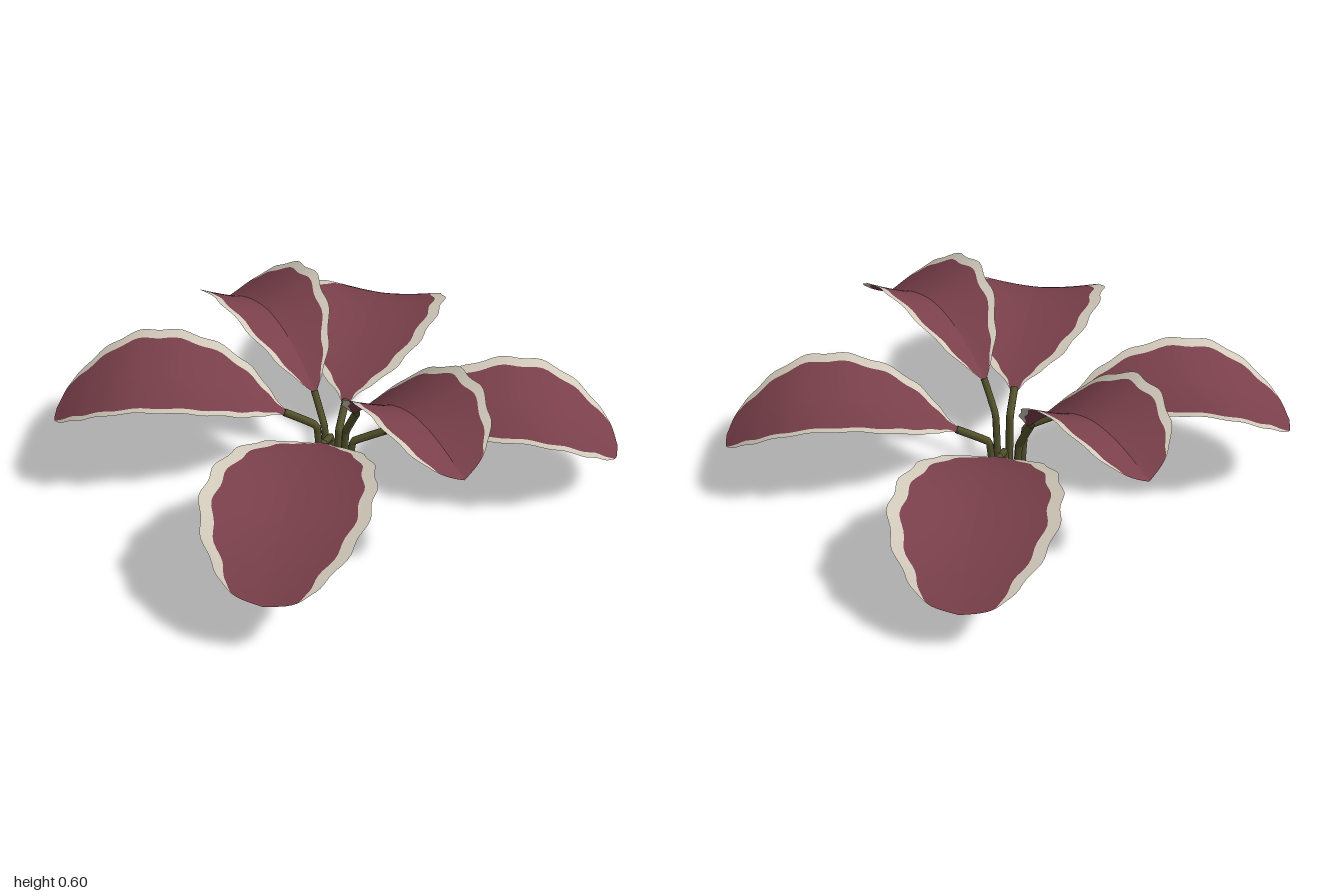
import * as THREE from 'three';

const leafRed = new THREE.MeshStandardMaterial({ color: 0x7a404b, side: THREE.DoubleSide });
leafRed.name = 'leafRed';
const marginCream = new THREE.MeshStandardMaterial({ color: 0xd3cbbc, side: THREE.DoubleSide });
marginCream.name = 'marginCream';
const stemOlive = new THREE.MeshStandardMaterial({ color: 0x54522c, side: THREE.DoubleSide });
stemOlive.name = 'stemOlive';

// Midrib points: distance from the centre, height, half width of the blade
const BIG = {
  points: [[0.165, 0.165, 0.008], [0.21, 0.19, 0.045], [0.27, 0.22, 0.12], [0.36, 0.255, 0.19],
    [0.48, 0.283, 0.24], [0.62, 0.293, 0.266], [0.75, 0.275, 0.265], [0.86, 0.232, 0.225],
    [0.94, 0.187, 0.16], [0.98, 0.16, 0.1], [0.997, 0.15, 0]],
  rise: 0.04, bend: 1.7, margin: 0.042, waves: 9,
  stem: [[0.052, 0], [0.065, 0.12], [0.18, 0.173]],
};
const SMALL = {
  points: [[0.13, 0.315, 0.008], [0.165, 0.35, 0.06], [0.21, 0.39, 0.11], [0.28, 0.44, 0.157],
    [0.37, 0.483, 0.187], [0.46, 0.5, 0.2], [0.55, 0.49, 0.195], [0.63, 0.465, 0.172],
    [0.69, 0.438, 0.125], [0.72, 0.424, 0.075], [0.735, 0.415, 0]],
  rise: 0.1, bend: 1.15, margin: 0.03, waves: 7,
  stem: [[0.055, 0], [0.068, 0.2], [0.135, 0.32]],
};

// One half of a blade: red columns first, then the cream margin column
function halfBlade(kind, lift, side) {
  const rows = 60, cols = 8;
  const curve = new THREE.CatmullRomCurve3(kind.points.map(p => new THREE.Vector3(...p)));
  const maxWidth = Math.max(...kind.points.map(p => p[2]));
  const positions = [], red = [], cream = [];
  for (let i = 0; i <= rows; i++) {
    const t = i / rows;
    const p = curve.getPoint(t);
    const fade = THREE.MathUtils.smoothstep(t, 0, 0.25) * (1 - THREE.MathUtils.smoothstep(t, 0.72, 0.92));
    const width = Math.max(0, p.z) + 0.006 * fade * Math.sin(t * kind.waves * Math.PI * 2);
    const inner = width - Math.min(width * 0.6, kind.margin * fade);
    for (let j = 0; j <= cols; j++) {
      const w = j < cols ? inner * j / (cols - 1) : width;
      const y = p.y + lift + kind.rise * Math.pow(w / maxWidth, kind.bend);
      positions.push(p.x, y, side * w);
      if (i < rows && j < cols) {
        const a = i * (cols + 1) + j, b = a + cols + 1;
        const faces = side > 0 ? [a, a + 1, b, b, a + 1, b + 1] : [a, b, a + 1, b, b + 1, a + 1];
        (j < cols - 1 ? red : cream).push(...faces);
      }
    }
  }
  const geo = new THREE.BufferGeometry();
  geo.setAttribute('position', new THREE.Float32BufferAttribute(positions, 3));
  geo.setIndex([...red, ...cream]);
  geo.addGroup(0, red.length, 0);
  geo.addGroup(red.length, cream.length, 1);
  geo.computeVertexNormals();
  return geo;
}

// A bent stalk carrying a cupped, arching blade
function makeLeaf(kind, name, degrees, lift) {
  const leaf = new THREE.Group();
  leaf.name = name;
  for (const side of [1, -1]) {
    const half = new THREE.Mesh(halfBlade(kind, lift, side), [leafRed, marginCream]);
    half.name = side > 0 ? 'bladeRightHalf' : 'bladeLeftHalf';
    leaf.add(half);
  }
  const path = new THREE.CatmullRomCurve3(
    kind.stem.map(([r, y]) => new THREE.Vector3(r, y > 0 ? y + lift : 0, 0)), false, 'catmullrom', 0.1);
  const stem = new THREE.Mesh(new THREE.TubeGeometry(path, 16, 0.014, 6), stemOlive);
  stem.name = 'stem';
  leaf.add(stem);
  leaf.rotation.y = THREE.MathUtils.degToRad(degrees);
  return leaf;
}

export function createModel() {
  const plant = new THREE.Group();
  plant.name = 'plant';
  plant.add(
    makeLeaf(BIG, 'leftLeaf', 4.5, 0),
    makeLeaf(BIG, 'backLeaf', 86, 0),
    makeLeaf(BIG, 'rightLeaf', 184.5, 0.062),
    makeLeaf(BIG, 'frontLeaf', 266, 0.062),
    makeLeaf(SMALL, 'frontUpperLeaf', -48, 0),
    makeLeaf(SMALL, 'backUpperLeaf', 132, -0.06),
  );
  return plant;
}
